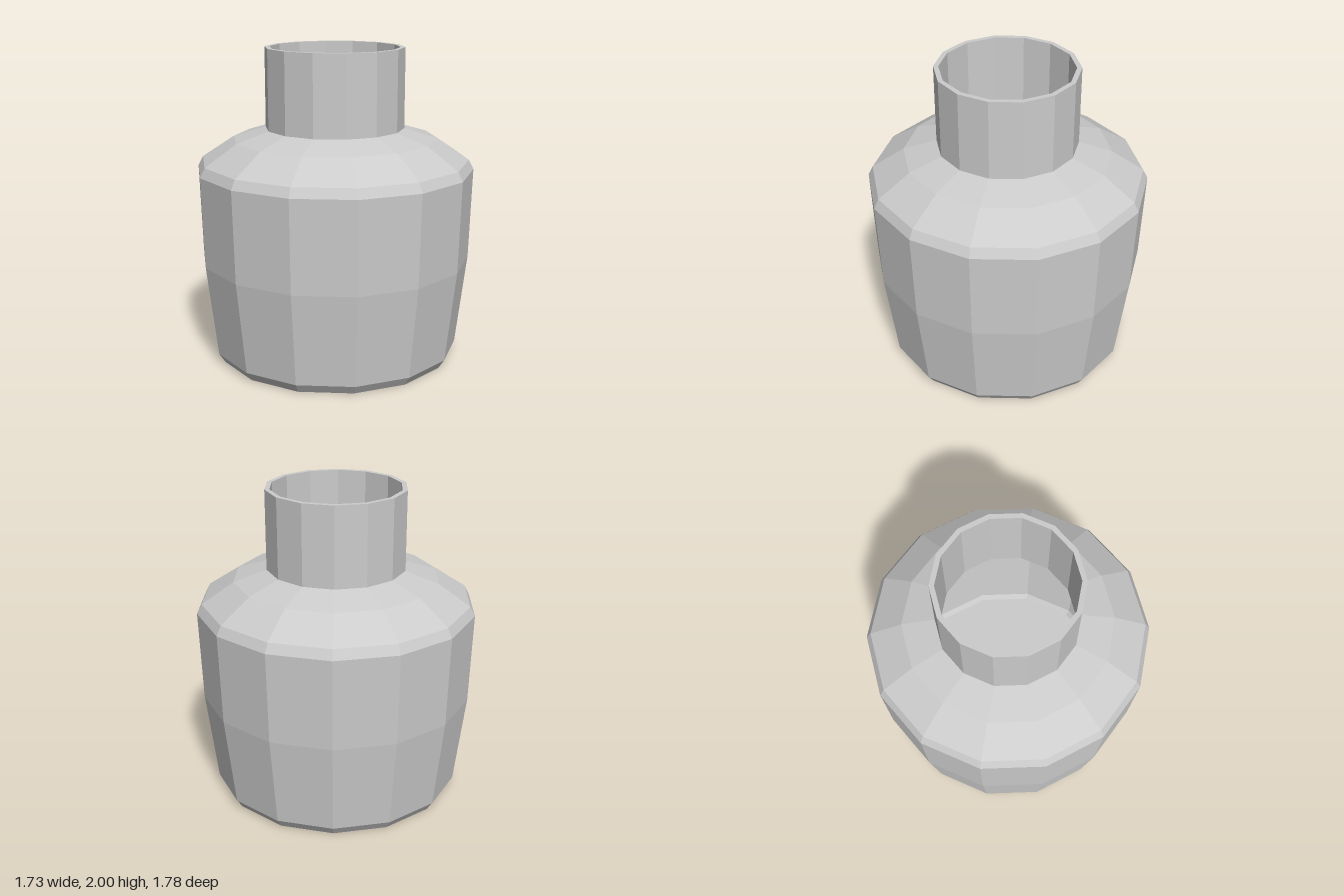
import * as THREE from 'three';

const SIDES = 14;

export function createModel() {
  const jar = new THREE.Group();
  jar.name = 'jar';
  const material = new THREE.MeshStandardMaterial({ color: 0xcccccc, flatShading: true });

  // Turns a [radius, height] profile into a faceted part
  const turn = (name, profile) => {
    const points = profile.map(([r, y]) => new THREE.Vector2(r, y));
    const geometry = new THREE.LatheGeometry(points, SIDES).toNonIndexed();
    geometry.computeVertexNormals();
    const mesh = new THREE.Mesh(geometry, material);
    mesh.name = name;
    jar.add(mesh);
  };

  // Base, bevelled foot, tapering wall and sloping shoulder
  turn('body', [
    [0, 0], [0.76, 0], [0.8, 0.06], [0.87, 0.65], [0.888, 1.23],
    [0.857, 1.29], [0.653, 1.425], [0.443, 1.49],
  ]);

  // Straight neck with its flat rim
  turn('neck', [[0.443, 1.49], [0.443, 2], [0.412, 2]]);

  // Hollow inside, from the rim down to the floor
  turn('interior', [
    [0.412, 2], [0.412, 1.465], [0.64, 1.395], [0.835, 1.27],
    [0.857, 1.22], [0.84, 0.65], [0.77, 0.07], [0.745, 0.03], [0, 0.03],
  ]);

  return jar;
}
